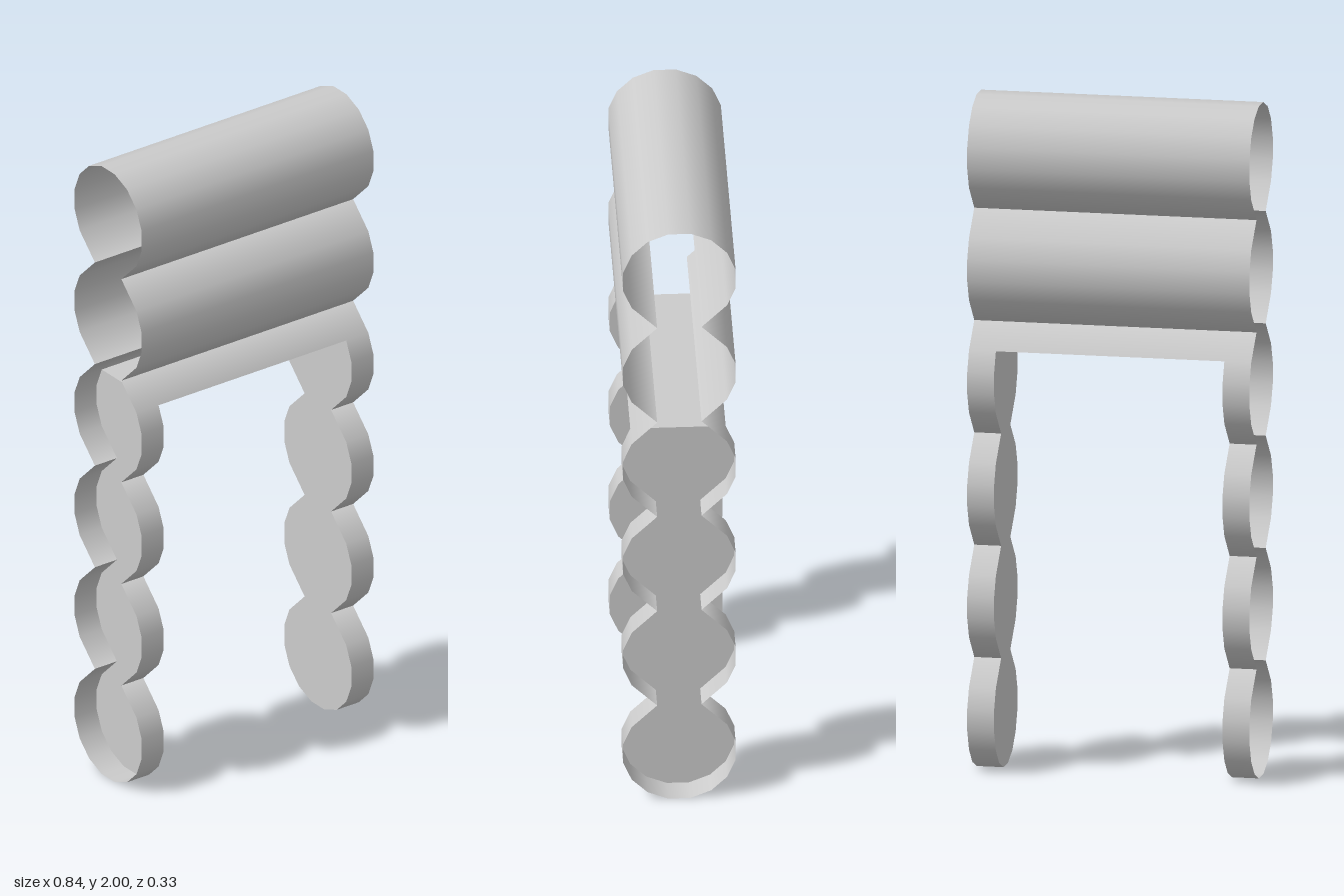
import * as THREE from 'three';

const R = 0.1672;            // log radius (16-sided)
const PITCH = 2 * R;         // spacing of stacked logs
const HALF = 0.42;           // half length of the wall
const DOOR = 0.34;           // half width of the doorway
const NOTCH = R * (2 * Math.cos(Math.PI / 16) * Math.SQRT1_2 - 1); // half depth at the joints
const centreY = (i) => R * Math.cos(Math.PI / 16) + i * PITCH;

const material = new THREE.MeshStandardMaterial({ color: 0xcccccc, side: THREE.DoubleSide });

// corner k of a log's cross-section as [z, y], counted up from the front
const corner = (k) => {
  const a = (k + 0.5) * Math.PI / 8;
  return [R * Math.cos(a), R * Math.sin(a)];
};
const corners = (from, to) => Array.from({ length: to - from + 1 }, (_, n) => corner(from + n));
const mirror = (pts) => pts.map(([z, y]) => [-z, y]).reverse();

const low = [NOTCH, -R], high = [NOTCH, R];

// curved log skin: cross-section points swept along x, with radial normals
function skin(name, pts, i, x0, x1) {
  const pos = [], nor = [], idx = [];
  pts.forEach(([z, y], n) => {
    const len = Math.hypot(z, y);
    for (const x of [x0, x1]) {
      pos.push(x, centreY(i) + y, z);
      nor.push(0, y / len, z / len);
    }
    if (n) {
      const a = 2 * n - 2;
      idx.push(a, a + 1, a + 3, a, a + 3, a + 2);
    }
  });
  const g = new THREE.BufferGeometry();
  g.setAttribute('position', new THREE.Float32BufferAttribute(pos, 3));
  g.setAttribute('normal', new THREE.Float32BufferAttribute(nor, 3));
  g.setIndex(idx);
  const mesh = new THREE.Mesh(g, material);
  mesh.name = name;
  return mesh;
}

export function createModel() {
  const model = new THREE.Group();
  model.name = 'logWallWithDoorway';

  const fullSide = [low, ...corners(-2, 1), high];
  const lintelSide = [corner(1), high];
  const postTopSide = [low, ...corners(-2, 1)];
  const topLog = [low, ...corners(-2, 9), [-NOTCH, -R]];
  const bottomLog = [[-NOTCH, R], ...corners(6, 17), high];

  // full-width logs above the doorway
  model.add(skin('topLog', topLog, 5, -HALF, HALF));
  for (const [name, pts, i] of [['upperLog', fullSide, 4], ['lintelLog', lintelSide, 3]]) {
    model.add(skin(name + 'Front', pts, i, -HALF, HALF));
    model.add(skin(name + 'Back', mirror(pts), i, -HALF, HALF));
  }

  // outline of a door post, going up the front and down the back
  const rise = [corner(-4)];
  rise.push(corner(-3));
  const outline = rise.map(([z, y]) => new THREE.Vector2(z, centreY(0) + y));
  for (let i = 0; i <= 3; i++) {
    const pts = i === 0 ? fullSide.slice(1) : i === 3 ? postTopSide.slice(1) : fullSide.slice(1);
    pts.forEach(([z, y]) => outline.push(new THREE.Vector2(z, centreY(i) + y)));
  }
  const postShape = new THREE.Shape([
    ...outline,
    ...outline.map((p) => new THREE.Vector2(-p.x, p.y)).reverse(),
  ]);

  // door posts: short log ends and the flat jamb
  for (const s of [1, -1]) {
    const post = new THREE.Group();
    post.name = s > 0 ? 'leftPost' : 'rightPost';
    const x0 = s > 0 ? DOOR : -HALF, x1 = s > 0 ? HALF : -DOOR;
    post.add(skin('bottomLogEnd', bottomLog, 0, x0, x1));
    for (let i = 1; i <= 3; i++) {
      const pts = i === 3 ? postTopSide : fullSide;
      post.add(skin('logEndFront', pts, i, x0, x1));
      post.add(skin('logEndBack', mirror(pts), i, x0, x1));
    }
    const jamb = new THREE.Mesh(new THREE.ShapeGeometry(postShape), material);
    jamb.name = 'jamb';
    jamb.rotation.y = -s * Math.PI / 2;
    jamb.position.x = s * DOOR;
    post.add(jamb);
    model.add(post);
  }

  // flat underside of the lintel
  const [z, y] = corner(1);
  const soffit = new THREE.Mesh(new THREE.PlaneGeometry(2 * DOOR, 2 * z), material);
  soffit.name = 'lintelUnderside';
  soffit.rotation.x = Math.PI / 2;
  soffit.position.y = centreY(3) + y;
  model.add(soffit);

  return model;
}
